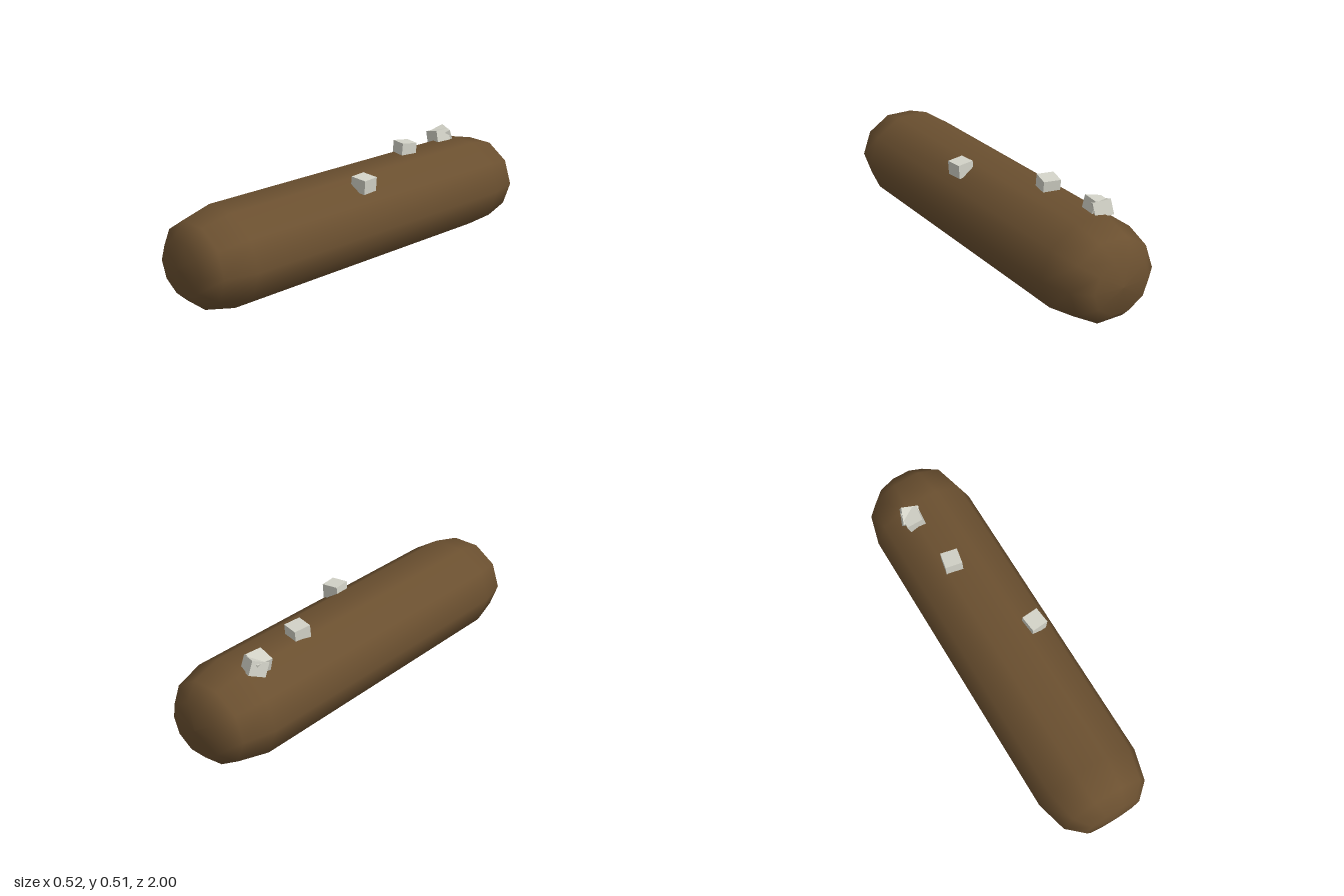
import * as THREE from 'three';

export function createModel() {
  const group = new THREE.Group();
  const brown = new THREE.MeshStandardMaterial({ color: 0x6b5030 });
  brown.name = 'brown';
  const paleGrey = new THREE.MeshStandardMaterial({ color: 0xd3d3c8 });
  paleGrey.name = 'pale grey';

  // Ten-sided capsule body lying along z, slightly flattened
  const cap = [[0, 1], [0.145, 0.988], [0.22, 0.92], [0.26, 0.77]];
  const profile = [
    ...cap.map(([r, z]) => new THREE.Vector2(r, -z)),
    ...cap.slice().reverse().map(([r, z]) => new THREE.Vector2(r, z)),
  ];
  const bodyGeometry = new THREE.LatheGeometry(profile, 10, Math.PI / 2);
  bodyGeometry.rotateX(Math.PI / 2);
  bodyGeometry.scale(1, 0.9, 1);
  const body = new THREE.Mesh(bodyGeometry, brown);
  body.name = 'body';
  body.position.y = 0.2235;
  group.add(body);

  // Small tilted chunks scattered on top: position, rotation
  const chunkGeometry = new THREE.BoxGeometry(0.083, 0.068, 0.083);
  const chunks = [
    [[0.143, 0.43, 0.053], [0, 0.11, -0.07]],
    [[-0.04, 0.467, -0.398], [-0.1, -0.2, 0]],
    [[-0.085, 0.46, -0.69], [0, -0.1, 0.24]],
    [[-0.09, 0.455, -0.715], [0.4, -0.35, 0]],
  ];
  chunks.forEach(([position, rotation], i) => {
    const chunk = new THREE.Mesh(chunkGeometry, paleGrey);
    chunk.name = `chunk${i + 1}`;
    chunk.position.set(...position);
    chunk.rotation.set(...rotation);
    group.add(chunk);
  });

  return group;
}
